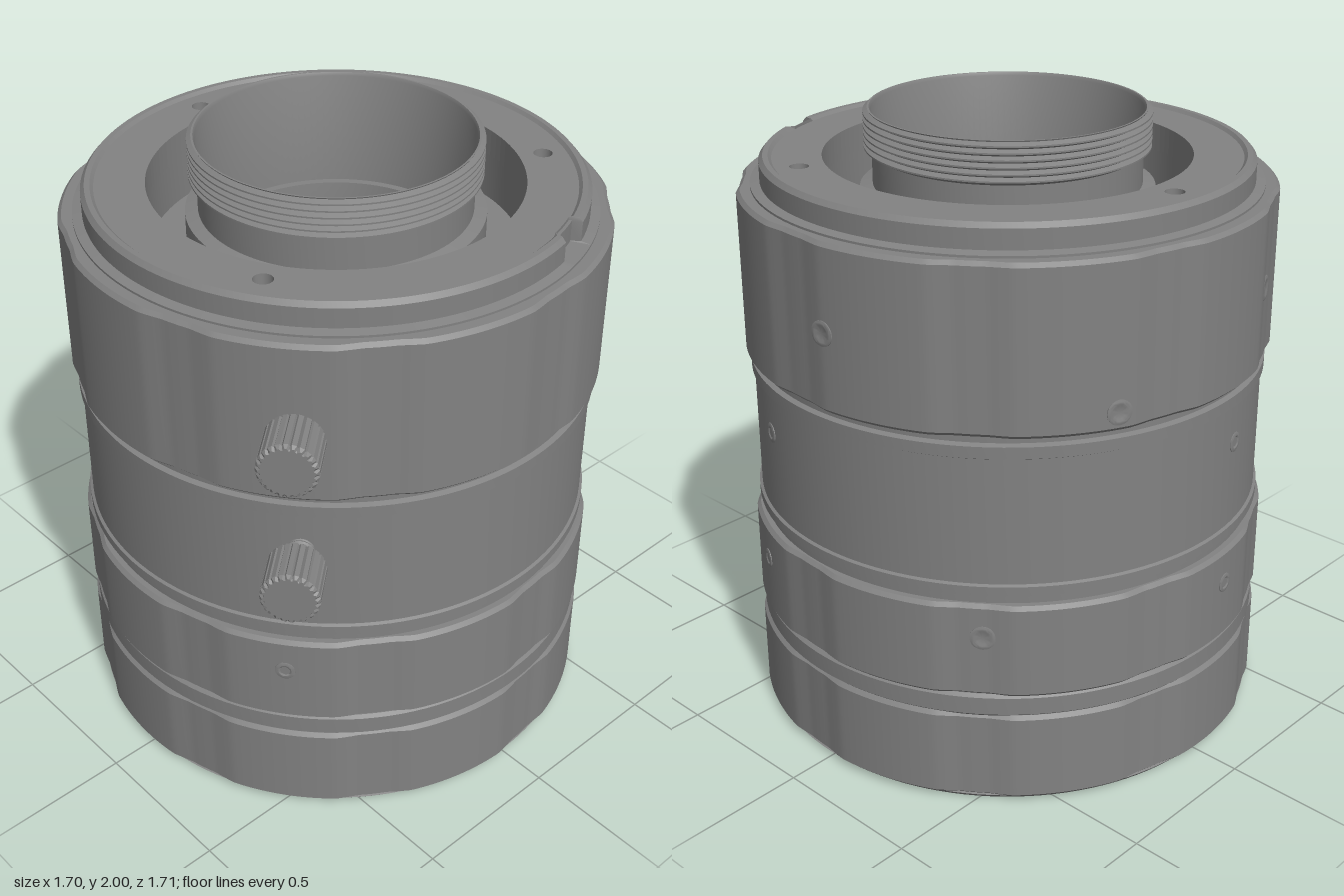
import * as THREE from 'three';
import { toCreasedNormals } from 'three/addons/utils/BufferGeometryUtils.js';

const DEG = Math.PI / 180;
const material = new THREE.MeshStandardMaterial({ color: 0x828282 });

// Angles run from +x towards +z, in degrees.
const angleGap = (a, b) => Math.abs(((a - b) % 360 + 540) % 360 - 180);

// Depth (0..1) of the nine shallow grip flutes at an angle.
function flute(angle) {
  const period = 40;
  const off = Math.abs((((angle - 74) % period) + period * 1.5) % period - period / 2);
  return THREE.MathUtils.clamp((8.3 - off) / 5, 0, 1);
}

// Revolve a profile of [radius, y] pairs; reshape may alter the radius by angle.
function turned(name, profile, reshape, segments = reshape ? 360 : 128) {
  const geo = new THREE.LatheGeometry(profile.map(([r, y]) => new THREE.Vector2(r, y)), segments);
  if (reshape) {
    const p = geo.attributes.position;
    for (let i = 0; i < p.count; i++) {
      const x = p.getX(i), z = p.getZ(i), r = Math.hypot(x, z);
      const k = reshape(r, Math.atan2(z, x) / DEG) / r;
      p.setX(i, x * k);
      p.setZ(i, z * k);
    }
  }
  const mesh = new THREE.Mesh(toCreasedNormals(geo, 0.5), material);
  mesh.name = name;
  return mesh;
}

// Chamfered grip ring with flutes cut in its outside.
function gripRing(name, y0, y1) {
  return turned(name, [
    [0.74, y0], [0.838, y0], [0.85, y0 + 0.012], [0.85, y1 - 0.012], [0.838, y1], [0.74, y1],
  ], (r, a) => (r > 0.83 ? r - 0.012 * flute(a) : r));
}

// Place something built along +z so that it points outward at an angle.
function outward(object, angle, radius, y) {
  object.position.set(Math.cos(angle * DEG) * radius, y, Math.sin(angle * DEG) * radius);
  object.rotation.y = Math.PI / 2 - angle * DEG;
  return object;
}

// Thumb screw with a knurled head and threaded shank.
function thumbScrew(angle, y) {
  const group = new THREE.Group();
  group.name = 'thumbScrew';
  const teeth = 24, shape = new THREE.Shape();
  for (let i = 0; i < teeth * 4; i++) {
    const r = i % 4 < 2 ? 0.08 : 0.073, a = (i / (teeth * 4)) * Math.PI * 2;
    if (i) shape.lineTo(r * Math.cos(a), r * Math.sin(a));
    else shape.moveTo(r, 0);
  }
  shape.closePath();
  const head = new THREE.Mesh(new THREE.ExtrudeGeometry(shape, {
    depth: 0.138, bevelEnabled: true, bevelSize: 0.008, bevelThickness: 0.01, bevelSegments: 1,
  }), material);
  head.name = 'knurledHead';
  head.position.z = 0.104;

  const profile = [];
  for (let i = 0; i <= 12; i++) profile.push([i % 2 ? 0.047 : 0.038, -0.05 + i * 0.0135]);
  const shank = turned('threadedShank', profile, null, 24);
  shank.rotation.x = Math.PI / 2;
  group.add(head, shank);
  return outward(group, angle, 0.8, y);
}

// Small socket screw set flush in the wall.
function setScrew(angle, radius, y, size = 0.026) {
  const screw = turned('setScrew', [
    [size + 0.006, -0.03], [size + 0.006, 0.002], [size, 0.004], [size * 0.8, 0.004],
    [size * 0.6, 0.001], [0, 0.001],
  ], null, 20);
  screw.geometry.rotateX(Math.PI / 2);
  return outward(screw, angle, radius, y);
}

// Ring-shaped plate with three drilled screw holes.
function rearPlate() {
  const shape = new THREE.Shape().absarc(0, 0, 0.745, 0, Math.PI * 2);
  shape.holes.push(new THREE.Path().absarc(0, 0, 0.58, 0, Math.PI * 2, true));
  for (const a of [60, 180, 300]) {
    const x = 0.66 * Math.cos(a * DEG), y = 0.66 * Math.sin(a * DEG);
    shape.holes.push(new THREE.Path().absarc(x, y, 0.03, 0, Math.PI * 2, true));
  }
  const geo = new THREE.ExtrudeGeometry(shape, { depth: 0.09, bevelEnabled: false, curveSegments: 64 });
  geo.rotateX(-Math.PI / 2);
  const mesh = new THREE.Mesh(geo, material);
  mesh.name = 'rearPlate';
  mesh.position.y = 1.765;
  return mesh;
}

export function createModel() {
  const model = new THREE.Group();
  model.name = 'lens';

  // Front rim with a finely stepped baffle leading to the glass
  const rim = [[0.635, 0.3], [0.635, 0.13]];
  const steps = 7;
  for (let i = 0; i < steps; i++) {
    const r = 0.635 + (0.11 * (i + 1)) / steps, y = 0.13 - (0.08 * i) / steps;
    rim.push([r, y], [r, y - 0.08 / steps]);
  }
  rim.push([0.775, 0.05], [0.785, 0], [0.825, 0], [0.838, 0.015], [0.8, 0.03]);
  model.add(turned('frontRim', rim));
  const glass = [];
  for (let i = 0; i <= 10; i++) glass.push([0.064 * i, 0.32 - 0.16 * (i / 10) ** 2]);
  model.add(turned('frontGlass', glass));

  // Grip rings and the plain barrel sections between them
  model.add(gripRing('frontGripRing', 0.012, 0.315));
  model.add(turned('gripBand', [
    [0.74, 0.31], [0.832, 0.31], [0.842, 0.32], [0.842, 0.378], [0.832, 0.388], [0.74, 0.388],
  ]));
  model.add(gripRing('focusRing', 0.385, 0.702));
  model.add(turned('middleBarrel', [
    [0.74, 0.69], [0.82, 0.69], [0.82, 0.728], [0.836, 0.734], [0.836, 0.765], [0.827, 0.77],
    [0.827, 1.18], [0.836, 1.185], [0.836, 1.222], [0.82, 1.228], [0.82, 1.26], [0.74, 1.26],
  ]));
  model.add(gripRing('irisRing', 1.25, 1.775));

  // Rear collar with an index notch
  model.add(turned('rearCollar', [
    [0.72, 1.76], [0.805, 1.76], [0.805, 1.782], [0.775, 1.788], [0.775, 1.85],
    [0.762, 1.865], [0.745, 1.865], [0.735, 1.855], [0.72, 1.855],
  ], (r, a) => (r > 0.735 && r < 0.78 && angleGap(a, -20) < 4.4 ? 0.735 : r)));
  model.add(rearPlate());

  // Recess around the mount
  model.add(turned('recess', [[0.75, 1.77], [0.58, 1.77], [0.58, 1.62], [0.4, 1.62]]));

  // Threaded mount with a deep, flat-stepped bore
  const mount = [[0.465, 1.62], [0.465, 1.75], [0.425, 1.76], [0.425, 1.865]];
  for (let i = 0; i < 6; i++) {
    const y = 1.87 + i * 0.021;
    mount.push([0.434, y], [0.45, y + 0.008], [0.45, y + 0.013], [0.434, y + 0.021]);
  }
  mount.push([0.436, 2], [0.43, 2], [0.425, 1.99], [0.425, 1.42], [0.31, 1.42], [0.31, 1.38], [0.295, 1.38]);
  model.add(turned('threadedMount', mount));
  model.add(turned('rearGlass', [[0.31, 1.38], [0.295, 1.38], [0.295, 1.36], [0.18, 1.36], [0.18, 1.35], [0, 1.35]]));

  // Thumb screws and set screws
  for (const y of [1.055, 1.505]) model.add(thumbScrew(49.5, y));
  for (const [a, r, y, size] of [
    [157, 0.838, 1.5, 0.034], [265.5, 0.85, 1.5, 0.034], [205, 0.85, 1.31, 0.034],
    [169, 0.827, 1.05], [290, 0.827, 1.05],
    [53, 0.85, 0.585], [173, 0.85, 0.585], [293, 0.85, 0.585], [232, 0.838, 0.59, 0.034],
  ]) model.add(setScrew(a, r, y, size));

  return model;
}
